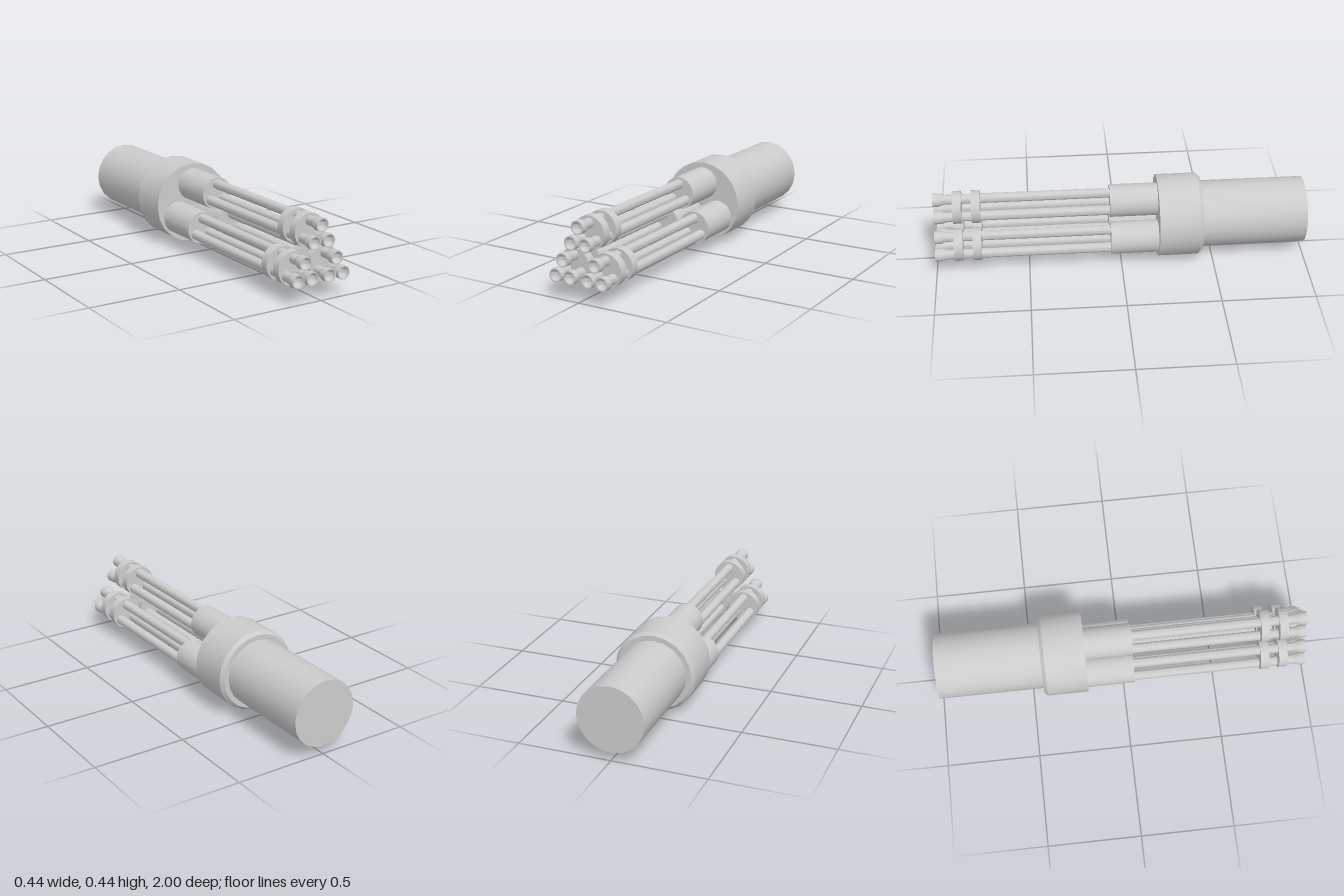
import * as THREE from 'three';
import { toCreasedNormals } from 'three/addons/utils/BufferGeometryUtils.js';

const AXIS_Y = 0.223;
const material = new THREE.MeshStandardMaterial({ color: 0xcccccc });

// Solid of revolution along z; the profile is a list of [radius, z], back to front
function turned(profile, sides) {
  const points = profile.map(([r, z]) => new THREE.Vector2(r, z));
  const geometry = new THREE.LatheGeometry(points, sides).rotateX(Math.PI / 2);
  return toCreasedNormals(geometry, 0.6);
}

const disc = (r, z0, z1, sides) => turned([[0, z0], [r, z0], [r, z1], [0, z1]], sides);

function part(name, geometry, x = 0, y = 0) {
  const mesh = new THREE.Mesh(geometry, material);
  mesh.name = name;
  mesh.position.set(x, y, 0);
  return mesh;
}

// Barrel with flared muzzle and a rounded bore
function barrelGeometry() {
  const profile = [
    [0, 0], [0.026, 0], [0.026, 0.935], [0.028, 0.945],
    [0.034, 0.962], [0.036, 0.972], [0.036, 1], [0.029, 1],
  ];
  for (let i = 1; i <= 6; i++) {
    const a = (i / 6) * Math.PI / 2;
    profile.push([i === 6 ? 0 : 0.029 * Math.cos(a), 1 - 0.029 * Math.sin(a)]);
  }
  return turned(profile, 20);
}

export function createModel() {
  const model = new THREE.Group();
  model.name = 'rotaryGun';

  // Rear shaft and chamfered housing
  model.add(part('rearShaft', disc(0.178, -1, -0.42, 20), 0, AXIS_Y));
  model.add(part('housing', turned([
    [0, -0.437], [0.205, -0.437], [0.222, -0.418], [0.222, -0.2], [0, -0.2],
  ], 20), 0, AXIS_Y));

  // Three barrel clusters, each with a holder, two clamps and three barrels
  const holder = disc(0.088, -0.21, 0.057, 32);
  const clamps = [disc(0.088, 0.75, 0.797, 32), disc(0.088, 0.85, 0.897, 32)];
  const barrel = barrelGeometry();
  for (const [x, y] of [[0, 0.329], [-0.0935, 0.151], [0.0935, 0.151]]) {
    const cluster = new THREE.Group();
    cluster.name = 'barrelCluster';
    cluster.position.set(x, y, 0);
    cluster.add(part('holder', holder));
    clamps.forEach((g) => cluster.add(part('clamp', g)));
    for (const [bx, by] of [[0, 0.052], [-0.042, -0.032], [0.042, -0.032]]) {
      cluster.add(part('barrel', barrel, bx, by));
    }
    model.add(cluster);
  }
  return model;
}
